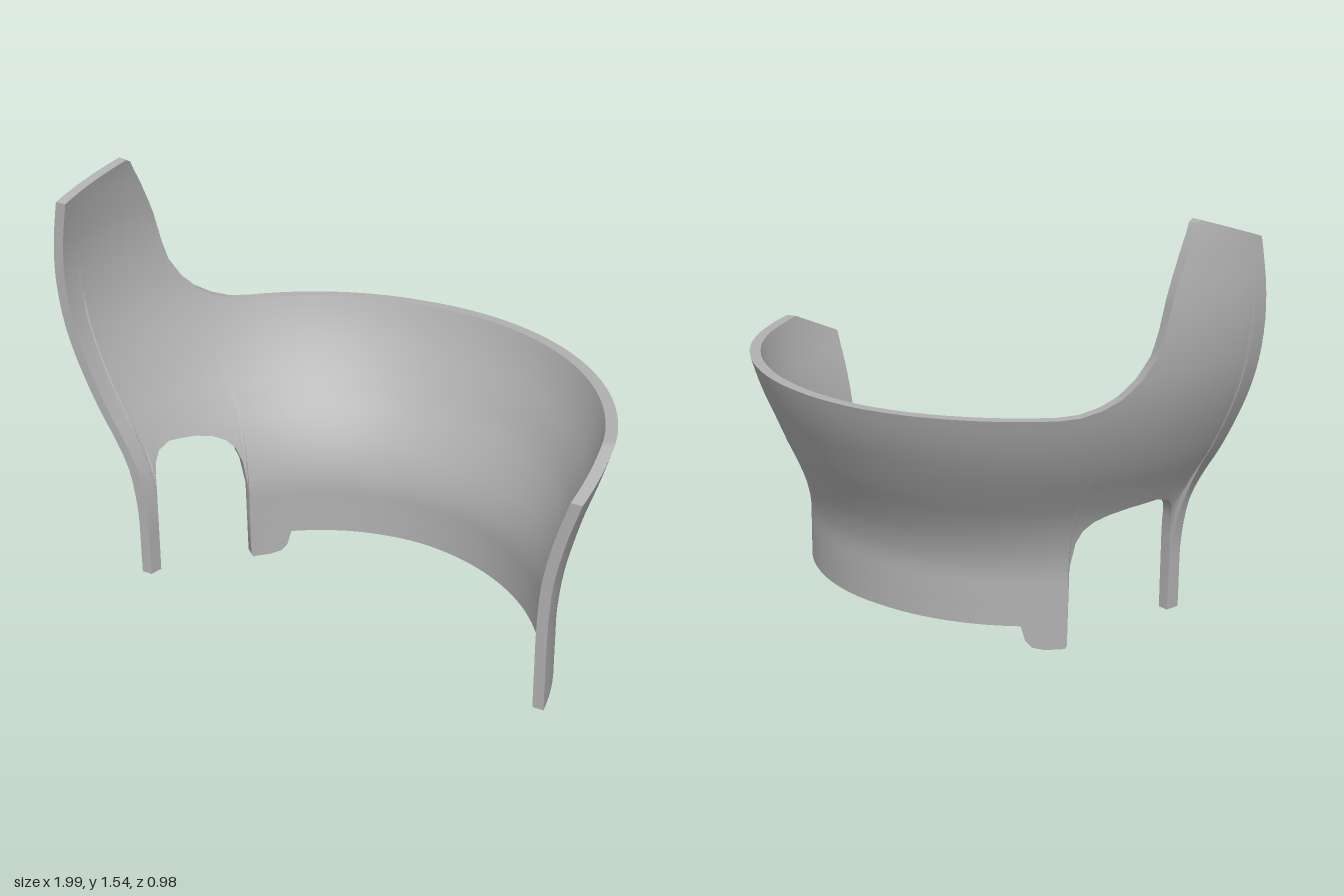
import * as THREE from 'three';
import { toCreasedNormals } from 'three/addons/utils/BufferGeometryUtils.js';

const FRONT = 0.49, THICK = 0.04, ROWS = 30;

// Wall profiles, one value for every 0.1 of height
const LEFT_X = [0.89, 0.89, 0.89, 0.89, 0.893, 0.9, 0.918, 0.943, 0.975, 1.005, 1.03, 1.045, 1.05, 1.05, 1.04, 1.02, 1.0];
const RIGHT_X = [-0.71, -0.71, -0.71, -0.71, -0.72, -0.742, -0.79, -0.85, -0.9, -0.943, -0.975, -0.993, -1, -0.995, -0.98, -0.96, -0.93];
const BACK_Z = [-0.205, -0.205, -0.205, -0.207, -0.235, -0.285, -0.345, -0.4, -0.45, -0.488, -0.515, -0.53, -0.535, -0.535, -0.525, -0.51, -0.49];

// Smooth (Catmull-Rom) reading of a profile at height y
function sample(list, y) {
  const n = list.length - 1;
  const f = THREE.MathUtils.clamp(y * 10, 0, n - 0.001);
  const i = Math.floor(f), t = f - i;
  const [a, b, c, d] = [-1, 0, 1, 2].map((k) => list[THREE.MathUtils.clamp(i + k, 0, n)]);
  return b + 0.5 * t * (c - a + t * (2 * a - 5 * b + 4 * c - d + t * (3 * (b - c) + d - a)));
}

// Circle through the two front ends and the back of the wall at height y
function arcAt(y) {
  const xl = sample(LEFT_X, y), xr = sample(RIGHT_X, y), zb = sample(BACK_Z, y);
  const w = (xl - xr) / 2, d = FRONT - zb;
  const r = (w * w + d * d) / (2 * d);
  const zc = zb + r;
  return { cx: (xl + xr) / 2, zc, r, span: Math.acos((zc - FRONT) / r) };
}

// Point on the wall: s runs -1 (right end) .. 0 (back) .. 1 (left end)
function wallPoint(s, y, inset) {
  const { cx, zc, r, span } = arcAt(y);
  const a = s * span;
  const z = Math.abs(s) > 0.9999 ? FRONT : Math.min(FRONT, zc - (r - inset) * Math.cos(a));
  return [cx + (r - inset) * Math.sin(a), y, z];
}

// Outline points [side, z, y] become increasing [s, y] pairs
function outline(points) {
  let prev = -1.002;
  return points.map(([side, z, y]) => {
    const { zc, r, span } = arcAt(y);
    let s = side * Math.acos(THREE.MathUtils.clamp((zc - z) / r, -1, 1)) / span;
    s = Math.min(1, Math.max(s, prev + 0.002));
    prev = s;
    return [s, y];
  });
}

function heightAt(line, s) {
  for (let i = 1; i < line.length; i++) {
    const [s0, y0] = line[i - 1], [s1, y1] = line[i];
    if (s <= s1) return y0 + (y1 - y0) * THREE.MathUtils.clamp((s - s0) / (s1 - s0), 0, 1);
  }
  return line[line.length - 1][1];
}

export function createModel() {
  // Lower edge: thin leg, arch, rounded foot, long bottom edge
  const lower = outline([
    [-1, 0.49, 0.08], [-1, 0.435, 0.08], [-1, 0.428, 0.35], [-1, 0.41, 0.45], [-1, 0.395, 0.49],
    [-1, 0.36, 0.525], [-1, 0.3, 0.54], [-1, 0.2, 0.527], [-1, 0.14, 0.51], [-1, 0.1, 0.485],
    [-1, 0.08, 0.45], [-1, 0.075, 0.4], [-1, 0.078, 0.3], [-1, 0.082, 0.012], [-1, 0.072, 0],
    [-1, 0.02, 0], [-1, -0.01, 0.01], [-1, -0.025, 0.035], [-1, -0.035, 0.09],
    [-1, -0.205, 0.09], [1, 0, 0.076], [1, 0.25, 0.057], [1, 0.49, 0.04],
  ]);
  // Upper edge: tall wing, swept curve, level rim, dropped corner
  const upper = outline([
    [-1, 0.49, 1.455], [-1, 0.21, 1.54], [-1, 0.19, 1.53], [-1, 0.135, 1.44], [-1, 0.095, 1.36],
    [-1, 0.07, 1.3], [-1, 0.045, 1.2], [-1, 0.025, 1.12], [-1, -0.01, 1.05], [-1, -0.055, 0.99],
    [-1, -0.1, 0.955], [-1, -0.15, 0.932], [-1, -0.2, 0.925], [-1, -0.49, 0.918],
    [1, 0.1, 0.925], [1, 0.25, 0.93], [1, 0.49, 0.83],
  ]);

  // Columns of the wall
  const all = [...lower, ...upper].map((p) => p[0]);
  for (let i = 0; i <= 96; i++) all.push(-1 + i / 48);
  all.sort((a, b) => a - b);
  const columns = all.filter((s, i) => i === 0 || s - all[i - 1] > 1e-5);

  const grid = (inset) => columns.map((s) => {
    const y0 = heightAt(lower, s), y1 = heightAt(upper, s);
    return Array.from({ length: ROWS + 1 }, (_, j) => wallPoint(s, y0 + (y1 - y0) * j / ROWS, inset));
  });
  const out = grid(0), inn = grid(THICK);
  const pos = [];
  const quad = (a, b, c, d) => pos.push(...a, ...b, ...c, ...a, ...c, ...d);
  const last = columns.length - 1;

  for (let i = 0; i < last; i++) {
    const k = i + 1;
    for (let j = 0; j < ROWS; j++) {
      quad(out[i][j], out[i][j + 1], out[k][j + 1], out[k][j]);
      quad(inn[i][j], inn[k][j], inn[k][j + 1], inn[i][j + 1]);
    }
    // Lower and upper rims
    quad(out[i][0], out[k][0], inn[k][0], inn[i][0]);
    quad(out[i][ROWS], inn[i][ROWS], inn[k][ROWS], out[k][ROWS]);
  }
  // Flat front ends
  for (let j = 0; j < ROWS; j++) {
    quad(out[0][j], inn[0][j], inn[0][j + 1], out[0][j + 1]);
    quad(out[last][j], out[last][j + 1], inn[last][j + 1], inn[last][j]);
  }

  const geometry = new THREE.BufferGeometry();
  geometry.setAttribute('position', new THREE.Float32BufferAttribute(pos, 3));

  const grey = new THREE.MeshStandardMaterial({ color: 0xb0b0b0 });
  grey.name = 'grey';
  const shell = new THREE.Mesh(toCreasedNormals(geometry, 0.6), grey);
  shell.name = 'curvedShell';

  const group = new THREE.Group();
  group.name = 'curvedGuard';
  group.add(shell);
  return group;
}
